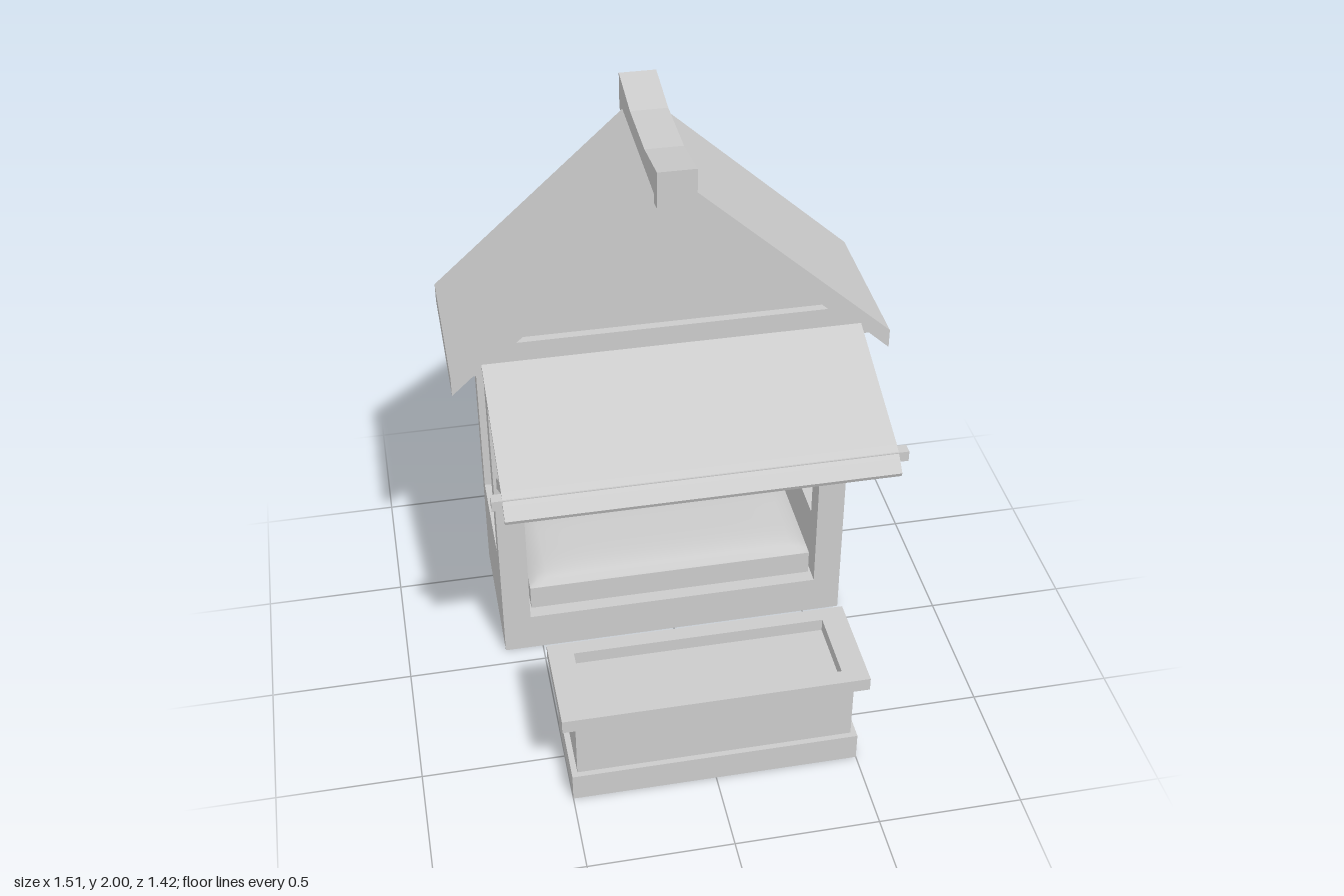
import * as THREE from 'three';

const mat = new THREE.MeshStandardMaterial({ color: 0xcccccc, side: THREE.DoubleSide });

function add(parent, name, geo) {
  const mesh = new THREE.Mesh(geo, mat);
  mesh.name = name;
  parent.add(mesh);
  return mesh;
}

// Box given by its min and max on each axis
function box(parent, name, x0, x1, y0, y1, z0, z1) {
  const mesh = add(parent, name, new THREE.BoxGeometry(x1 - x0, y1 - y0, z1 - z0));
  mesh.position.set((x0 + x1) / 2, (y0 + y1) / 2, (z0 + z1) / 2);
  return mesh;
}

const toShape = (pts) => new THREE.Shape(pts.map(([a, b]) => new THREE.Vector2(a, b)));

// Extrude an (x, y) outline from z0 to z1, optionally with one hole
function extrudeZ(pts, z0, z1, hole) {
  const shape = toShape(pts);
  if (hole) shape.holes.push(toShape(hole));
  return new THREE.ExtrudeGeometry(shape, { depth: z1 - z0, bevelEnabled: false }).translate(0, 0, z0);
}

// Extrude a (z, y) outline along x between -half and +half
function extrudeX(pts, half) {
  return new THREE.ExtrudeGeometry(toShape(pts.map(([z, y]) => [-z, y])),
    { depth: half * 2, bevelEnabled: false }).translate(0, 0, -half).rotateY(Math.PI / 2);
}

function createStand() {
  const g = new THREE.Group();
  g.name = 'stand';
  box(g, 'floorBlock', -0.64, 0.64, 0, 0.15, -0.63, -0.07);
  box(g, 'backWall', -0.64, 0.64, 0.15, 0.415, -0.63, -0.55);
  for (const s of [-1, 1]) {
    const a = Math.min(s * 0.54, s * 0.64), b = Math.max(s * 0.54, s * 0.64);
    box(g, 'sideWall', a, b, 0.15, 0.415, -0.55, -0.07);
    box(g, 'frontPost', a, b, 0.415, 1.3, -0.155, -0.07);
    box(g, 'backPost', a, b, 0.415, 1.3, -0.63, -0.55);
  }
  // Display shelf with a gently domed top
  box(g, 'displayShelf', -0.53, 0.53, 0.15, 0.245, -0.55, -0.12);
  const dome = new THREE.PlaneGeometry(1.06, 0.43, 32, 16).rotateX(-Math.PI / 2);
  const p = dome.attributes.position;
  for (let i = 0; i < p.count; i++) {
    const u = Math.abs(p.getX(i) / 0.53), v = Math.abs(p.getZ(i) / 0.215);
    p.setY(i, 0.045 * Math.sqrt(Math.max(0, (1 - u ** 6) * (1 - v ** 4))));
  }
  dome.computeVertexNormals();
  add(g, 'shelfTop', dome).position.set(0, 0.246, -0.335);
  return g;
}

function createRoof() {
  const g = new THREE.Group();
  g.name = 'roof';
  const outline = [[-0.755, 1.2], [-0.68, 1.27], [0.68, 1.27], [0.755, 1.2], [0.755, 1.27], [0, 1.953], [-0.755, 1.27]];
  const panel = [[-0.53, 1.385], [0.53, 1.385], [0, 1.865]];
  // Gable frames at both ends with a solid core, leaving recessed triangles
  add(g, 'frontGable', extrudeZ(outline, -0.085, -0.055, panel));
  add(g, 'roofCore', extrudeZ(outline, -0.62, -0.085));
  add(g, 'backGable', extrudeZ(outline, -0.65, -0.62, panel));
  // Ridge cap swept up at both ends
  add(g, 'ridgeCap', extrudeX([[0, 1.87], [0, 2], [-0.22, 1.965], [-0.49, 1.965], [-0.71, 2],
    [-0.71, 1.87], [-0.49, 1.835], [-0.22, 1.835]], 0.065));
  return g;
}

function createAwning() {
  const g = new THREE.Group();
  g.name = 'awning';
  // Thin sheet: straight slope, then a rounded lip
  const path = new THREE.CurvePath();
  const v = (z, y) => new THREE.Vector2(z, y);
  path.add(new THREE.LineCurve(v(-0.08, 1.322), v(0.4, 1.148)));
  path.add(new THREE.QuadraticBezierCurve(v(0.4, 1.148), v(0.44, 1.134), v(0.465, 1.108)));
  path.add(new THREE.LineCurve(v(0.465, 1.108), v(0.493, 1.083)));
  const top = path.getPoints(6).map((q) => [q.x, q.y]);
  const under = top.map(([z, y]) => [z - 0.007, y - 0.016]).reverse();
  add(g, 'awningSheet', extrudeX([...top, ...under], 0.65));
  // Cross rod and two diagonal struts
  box(g, 'awningRod', -0.685, 0.685, 1.092, 1.13, 0.405, 0.443);
  for (const s of [-1, 1]) {
    const strut = extrudeX([[0.42, 1.13], [0.405, 1.09], [-0.08, 0.766], [-0.08, 0.815], [0.4, 1.13]], 0.024);
    add(g, 'awningStrut', strut).position.x = s * 0.605;
  }
  return g;
}

function createPlanter() {
  const g = new THREE.Group();
  g.name = 'planter';
  box(g, 'planterBase', -0.5, 0.5, 0, 0.105, 0.35, 0.7);
  box(g, 'planterBody', -0.48, 0.48, 0.105, 0.337, 0.37, 0.68);
  // Rim frame around the shallow recess
  const rect = (w, d) => [[-w, -d], [w, -d], [w, d], [-w, d]];
  const rim = extrudeZ(rect(0.527, 0.185), 0, 0.05, rect(0.44, 0.13)).rotateX(-Math.PI / 2);
  add(g, 'planterRim', rim).position.set(0, 0.335, 0.525);
  return g;
}

export function createModel() {
  const model = new THREE.Group();
  model.name = 'marketStall';
  model.add(createStand(), createRoof(), createAwning(), createPlanter());
  return model;
}
